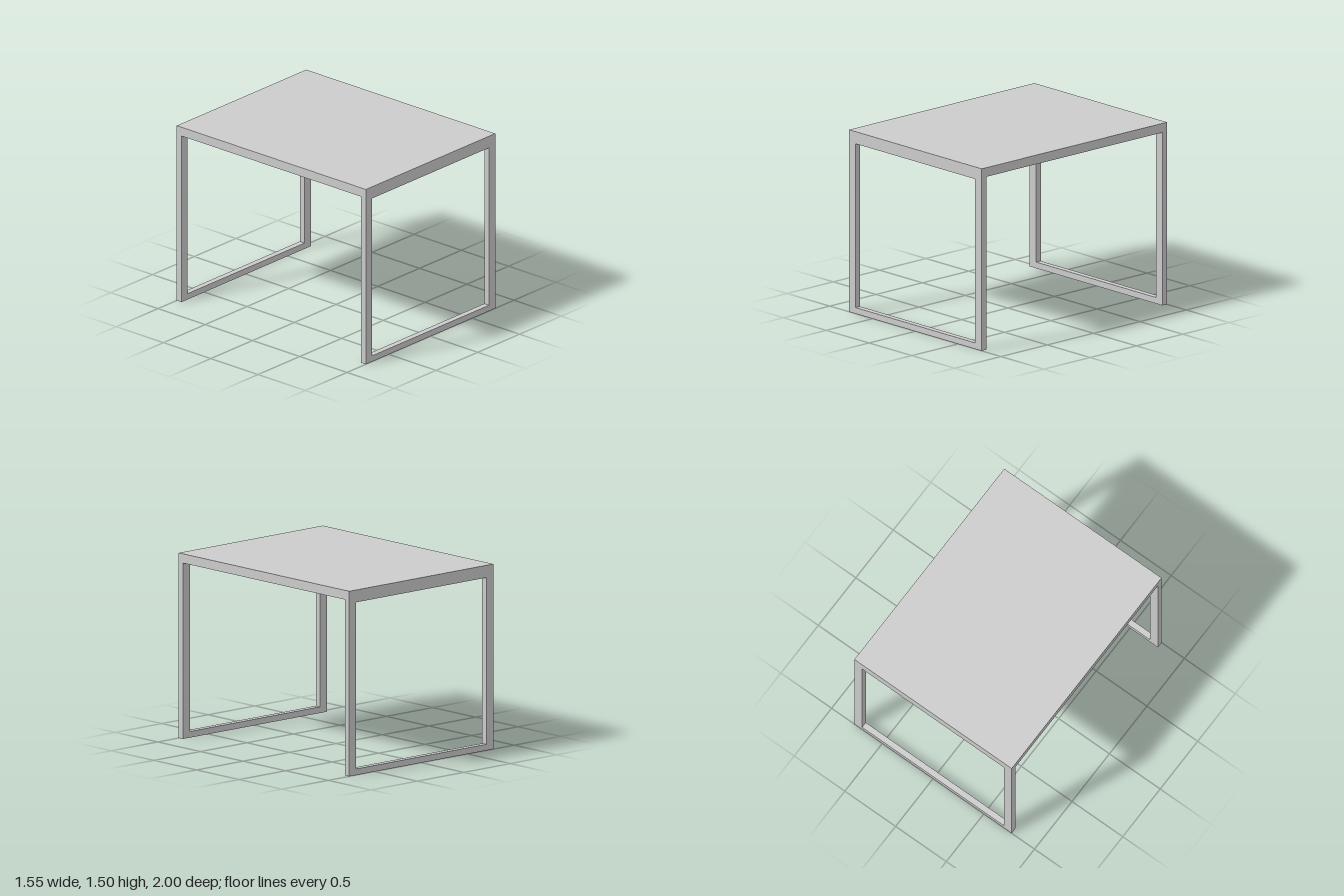
import * as THREE from 'three';

const HALF_W = 0.775, HEIGHT = 1.5, HALF_D = 1;
const LEG_W = 0.075, LEG_T = 0.05, TOP_T = 0.075;

// Closed rectangular leg frame with one opening, extruded along z
function frameGeometry() {
  const shape = new THREE.Shape();
  shape.moveTo(-HALF_W, 0).lineTo(HALF_W, 0).lineTo(HALF_W, HEIGHT).lineTo(-HALF_W, HEIGHT).closePath();

  const inner = HALF_W - LEG_W, bottom = 0.05, top = 1.4;
  const opening = new THREE.Path();
  opening.moveTo(-inner, bottom).lineTo(-inner, top).lineTo(inner, top).lineTo(inner, bottom).closePath();
  shape.holes.push(opening);

  return new THREE.ExtrudeGeometry(shape, { depth: LEG_T, bevelEnabled: false });
}

export function createModel() {
  const model = new THREE.Group();
  model.name = 'table';
  const material = new THREE.MeshStandardMaterial({ color: 0xcccccc });

  // Table top slab, flush between the two frames
  const tableTop = new THREE.Mesh(
    new THREE.BoxGeometry(HALF_W * 2, TOP_T, (HALF_D - LEG_T) * 2), material);
  tableTop.name = 'tableTop';
  tableTop.position.y = HEIGHT - TOP_T / 2;
  model.add(tableTop);

  // Leg frames at the front and back ends
  const geometry = frameGeometry();
  for (const [name, z] of [['frontLegFrame', HALF_D - LEG_T], ['backLegFrame', -HALF_D]]) {
    const frame = new THREE.Mesh(geometry, material);
    frame.name = name;
    frame.position.z = z;
    model.add(frame);
  }

  return model;
}
